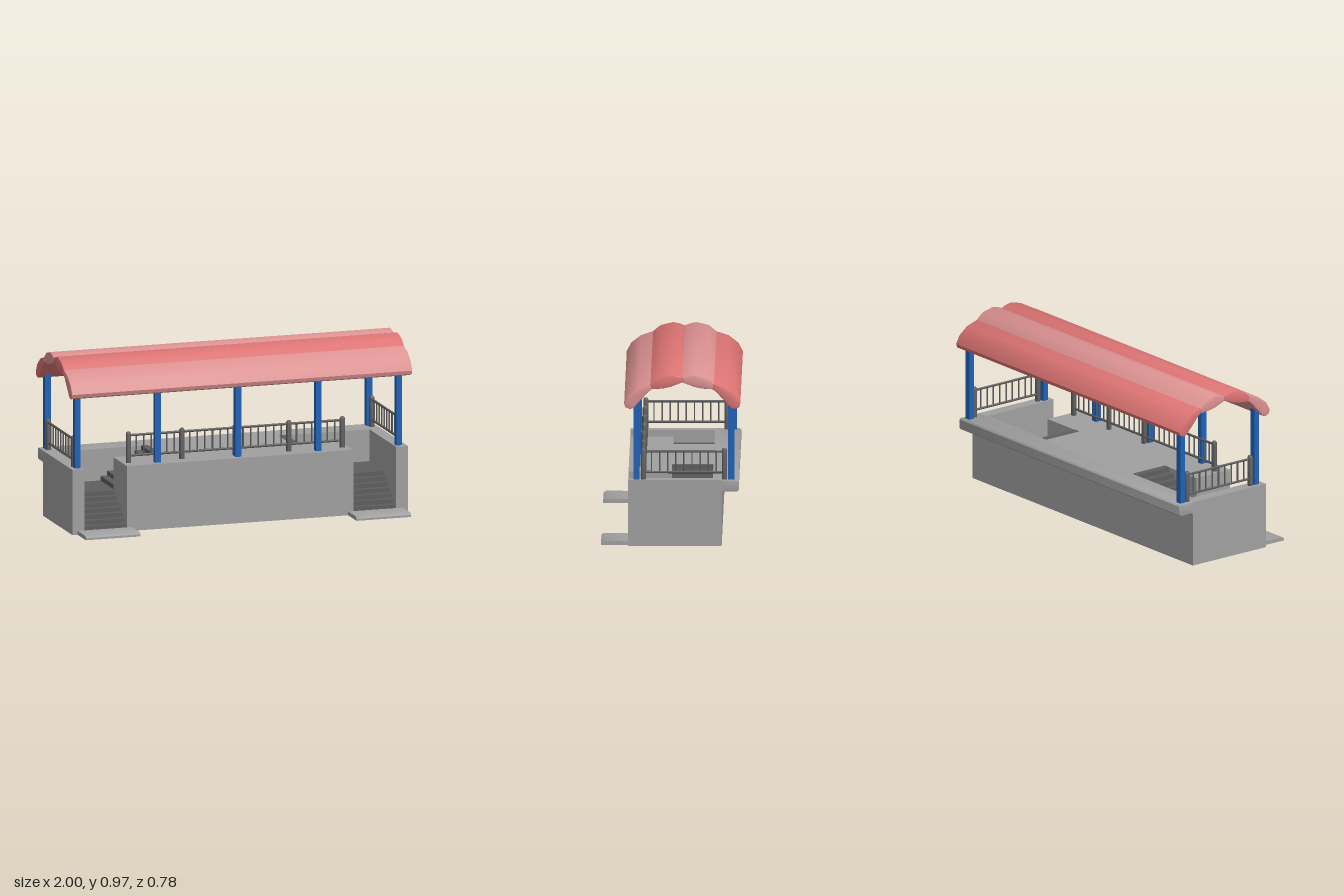
import * as THREE from 'three';
import { toCreasedNormals } from 'three/addons/utils/BufferGeometryUtils.js';

const mat = (name, color) => Object.assign(new THREE.MeshStandardMaterial({ color }), { name });

export function createModel() {
  const concrete = mat('concrete', 0xa0a0a0);
  const darkMetal = mat('darkGrey', 0x5e5e5e);
  const blue = mat('blue', 0x1f62b8);
  const red = mat('roofRed', 0xdd7474);
  const pink = mat('roofPink', 0xdd9292);

  const model = new THREE.Group();
  const building = new THREE.Group();
  building.name = 'building';
  building.position.x = -0.005;
  model.add(building);

  const add = (name, geo, material, x = 0, y = 0, z = 0, parent = building) => {
    const m = new THREE.Mesh(geo, material);
    m.name = name;
    m.position.set(x, y, z);
    parent.add(m);
    return m;
  };
  const box = (name, material, x0, x1, y0, y1, z0, z1) =>
    add(name, new THREE.BoxGeometry(x1 - x0, y1 - y0, z1 - z0), material,
      (x0 + x1) / 2, (y0 + y1) / 2, (z0 + z1) / 2);
  const extrude = (pts, depth, bevel = 0) => new THREE.ExtrudeGeometry(
    new THREE.Shape(pts.map(p => new THREE.Vector2(p[0], p[1]))),
    { depth: depth - 2 * bevel, bevelEnabled: bevel > 0, bevelSize: bevel, bevelOffset: -bevel,
      bevelThickness: bevel, bevelSegments: 2 });
  // Profile given as [z, y], swept along x and centred
  const sweepX = (pts, length, bevel = 0) => {
    const g = extrude(pts.map(([z, y]) => [-z, y]), length, bevel);
    g.translate(0, 0, -(length - 2 * bevel) / 2);
    return toCreasedNormals(g.rotateY(Math.PI / 2), 0.75);
  };

  // Platform with two stairwells open to the front
  const top = 0.372;
  const half = [[0.665, 0.237], [0.665, -0.005], [0.385, -0.005], [0.385, -0.235],
    [0.915, -0.235], [0.915, 0.237], [0.985, 0.237], [0.985, -0.285]];
  const outline = [...half, ...half.map(([x, z]) => [-x, z]).reverse()];
  add('platform', extrude(outline.map(([x, z]) => [x, -z]), top).rotateX(-Math.PI / 2), concrete);

  // Overhanging lip along the back
  add('backLip', sweepX([[-0.24, top], [-0.372, top], [-0.38, 0.364], [-0.38, 0.315], [-0.371, 0.306],
    [-0.302, 0.306], [-0.29, 0.301], [-0.284, 0.29], [-0.24, 0.29]], 1.97, 0.004), concrete);

  // Stair flight: stepped band rising along +x
  const flight = (n, run, rise, width) => {
    const up = [], down = [];
    const dx = run / n, dy = rise / n, t = 0.014;
    for (let i = 0; i < n; i++) {
      up.push([i * dx, i * dy], [i * dx, (i + 1) * dy]);
      down.push([i * dx + t, i * dy - t], [i * dx + t, (i + 1) * dy - t]);
    }
    up.push([run, rise]);
    down.push([run, rise - t]);
    return extrude([...up, ...down.reverse()].reverse(), width);
  };
  const landingY = 0.19;
  const lower = flight(7, 0.242, landingY - 0.018, 0.25);
  const upper = flight(7, 0.28, top + 0.002 - landingY, 0.23);
  const padProfile = [[0.237, 0], [0.388, 0], [0.388, 0.012], [0.375, 0.022], [0.237, 0.022]];
  for (const s of [1, -1]) {
    add('lowerFlight', lower, darkMetal, s > 0 ? 0.665 : -0.915, 0.018, 0.237).rotation.y = Math.PI / 2;
    add('upperFlight', upper, darkMetal, s * 0.665, landingY, s > 0 ? -0.005 : -0.235)
      .rotation.y = s > 0 ? Math.PI : 0;
    const [a, b] = s > 0 ? [0.665, 0.915] : [-0.915, -0.665];
    box('landing', darkMetal, a, b, landingY - 0.016, landingY, -0.235, -0.005);
    add('stairPad', sweepX(padProfile, 0.32), concrete, s * 0.795);
  }

  // Railings: posts with chamfered caps, two rails, evenly spaced balusters
  const postGeo = toCreasedNormals(new THREE.LatheGeometry(
    [[0, 0], [0.015, 0], [0.015, 0.168], [0.01, 0.177], [0, 0.177]].map(p => new THREE.Vector2(...p)), 10), 0.7);
  const balusterGeo = new THREE.CylinderGeometry(0.0045, 0.0045, 0.118, 6);
  const railing = (name, length, bays, perBay) => {
    const g = new THREE.Group();
    g.name = name;
    const bay = length / bays;
    for (let i = 0; i <= bays; i++) {
      add('railPost', postGeo, darkMetal, -length / 2 + i * bay, top - 0.002, 0, g);
      for (let j = 1; i < bays && j <= perBay; j++)
        add('baluster', balusterGeo, darkMetal, -length / 2 + (i + j / (perBay + 1)) * bay, 0.47, 0, g);
    }
    for (const y of [0.412, 0.528])
      add('rail', new THREE.CylinderGeometry(0.007, 0.007, length, 8).rotateZ(Math.PI / 2), darkMetal, 0, y, 0, g);
    building.add(g);
    return g;
  };
  railing('frontRailing', 1.256, 4, 6).position.z = 0.153;
  for (const s of [1, -1]) {
    const r = railing('endRailing', 0.452, 1, 9);
    r.rotation.y = Math.PI / 2;
    r.position.set(s * 0.95, 0, -0.074);
  }

  // Roof columns: five at the front, two at the back corners
  const column = (x, z) => box('column', blue, x - 0.017, x + 0.017, top - 0.002, 0.82, z - 0.017, z + 0.017);
  for (let i = -2; i <= 2; i++) column(i * 0.472, 0.19);
  for (const s of [1, -1]) column(s * 0.944, -0.338);

  // Arched roof of four lens-shaped strips, mirrored about z = -0.065
  const eave = [[0.112, 0.917], [0.18, 0.895], [0.234, 0.853], [0.259, 0.805], [0.252, 0.784], [0.226, 0.774],
    [0.206, 0.781], [0.165, 0.826], [0.128, 0.868], [0.105, 0.886]];
  const crown = [[-0.065, 0.95], [-0.038, 0.961], [0, 0.969], [0.07, 0.952], [0.112, 0.917],
    [0.105, 0.886], [0.045, 0.89], [0, 0.9], [-0.065, 0.925]];
  const mirror = pts => pts.map(([z, y]) => [-0.13 - z, y]);
  add('frontEaveStrip', sweepX(eave, 2, 0.005), pink, 0, 0, 0, model);
  add('frontCrownStrip', sweepX(crown, 2, 0.005), red, 0, 0, 0, model);
  add('backCrownStrip', sweepX(mirror(crown), 2, 0.005), pink, 0, 0, 0, model);
  add('backEaveStrip', sweepX(mirror(eave), 2, 0.005), red, 0, 0, 0, model);

  return model;
}
